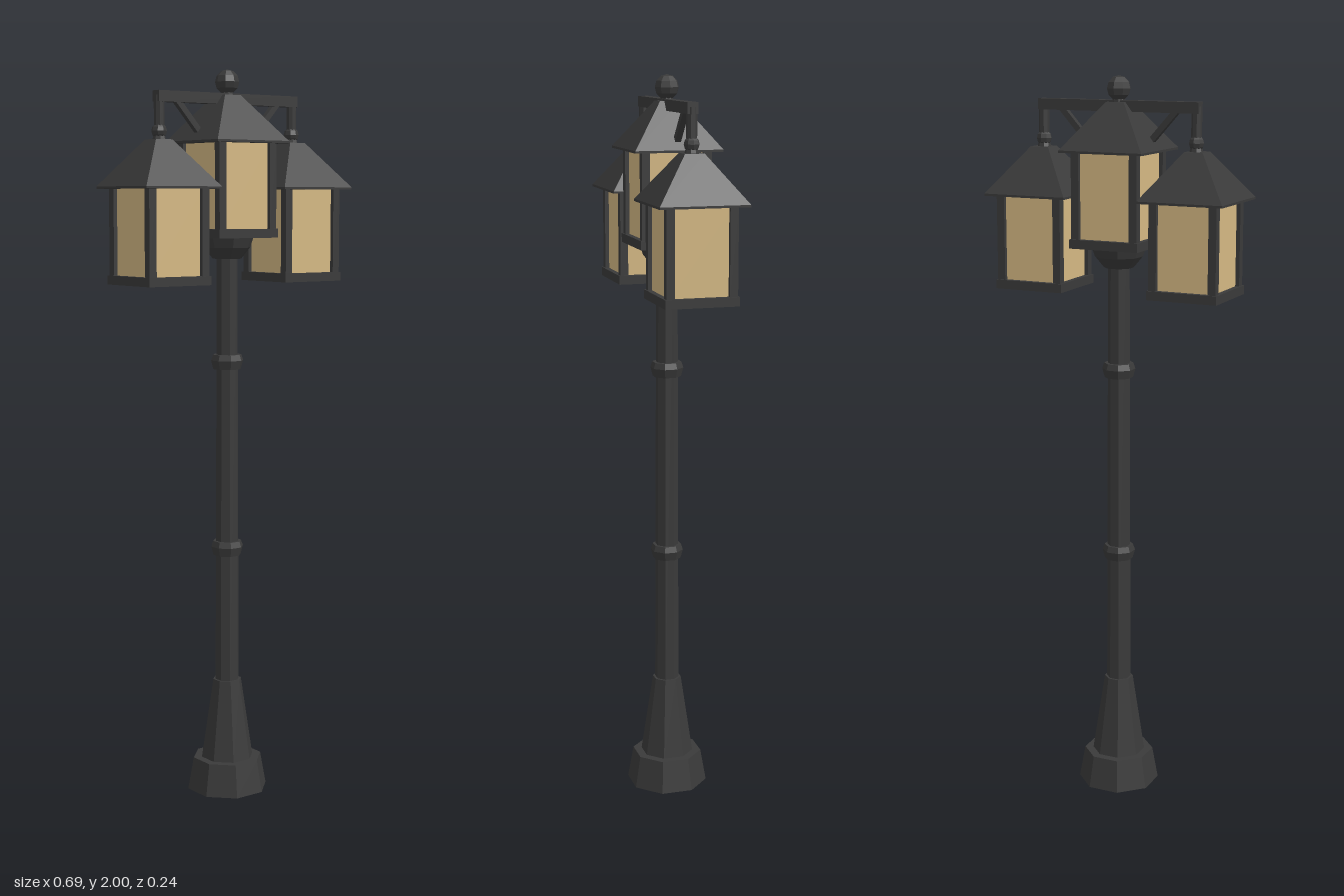
import * as THREE from 'three';

const iron = new THREE.MeshStandardMaterial({ color: 0x3a3a3a, flatShading: true });
iron.name = 'dark iron';
const amber = new THREE.MeshStandardMaterial({ color: 0xd4b883, flatShading: true });
amber.name = 'amber glass';

function add(parent, name, geometry, material, x = 0, y = 0, z = 0) {
  const mesh = new THREE.Mesh(geometry, material);
  mesh.name = name;
  mesh.position.set(x, y, z);
  parent.add(mesh);
  return mesh;
}

// Upright prism or frustum with flat sides facing the axes; sizes are half-widths.
function prism(parent, name, y0, y1, bottom, top, sides = 8, x = 0) {
  const k = 1 / Math.cos(Math.PI / sides);
  const g = new THREE.CylinderGeometry(top * k, bottom * k, y1 - y0, sides);
  g.rotateY(Math.PI / sides);
  return add(parent, name, g, iron, x, (y0 + y1) / 2);
}

// Square bar between two points in the x-y plane.
function bar(parent, name, ax, ay, bx, by, size) {
  const g = new THREE.BoxGeometry(Math.hypot(bx - ax, by - ay), size, size);
  const m = add(parent, name, g, iron, (ax + bx) / 2, (ay + by) / 2);
  m.rotation.z = Math.atan2(by - ay, bx - ax);
  return m;
}

// Square lantern standing on y = 0 of its own group.
function makeLantern(name) {
  const g = new THREE.Group();
  g.name = name;
  add(g, 'lanternFloor', new THREE.BoxGeometry(0.198, 0.024, 0.198), iron, 0, 0.012);
  add(g, 'glass', new THREE.BoxGeometry(0.168, 0.232, 0.168), amber, 0, 0.138);
  for (const x of [-1, 1]) {
    for (const z of [-1, 1]) {
      add(g, 'cornerPost', new THREE.BoxGeometry(0.022, 0.235, 0.022), iron, x * 0.084, 0.14, z * 0.084);
    }
  }
  prism(g, 'eave', 0.252, 0.258, 0.119, 0.119, 4);
  prism(g, 'roof', 0.258, 0.38, 0.119, 0.026, 4);
  return g;
}

export function createModel() {
  const model = new THREE.Group();
  model.name = 'streetLamp';

  // Octagonal foot and pole
  prism(model, 'foot', 0, 0.09, 0.105, 0.09);
  prism(model, 'taperedBase', 0.09, 0.315, 0.068, 0.037);
  prism(model, 'pole', 0.3, 1.51, 0.031, 0.027);
  for (const y of [0.692, 1.213]) {
    prism(model, 'ring', y - 0.02, y + 0.004, 0.036, 0.042);
    prism(model, 'ring', y + 0.004, y + 0.02, 0.042, 0.037);
  }
  prism(model, 'capital', 1.495, 1.525, 0.037, 0.06);
  prism(model, 'capitalTop', 1.525, 1.556, 0.06, 0.07);

  // Raised middle lantern with its finial
  const middle = makeLantern('middleLantern');
  middle.position.y = 1.552;
  model.add(middle);
  prism(model, 'finialNeck', 1.92, 1.95, 0.018, 0.014);
  add(model, 'finial', new THREE.SphereGeometry(0.033, 8, 6), iron, 0, 1.967);

  // Cross arm, braces and hanging lanterns
  bar(model, 'crossArm', -0.232, 1.922, 0.232, 1.922, 0.029);
  for (const s of [-1, 1]) {
    bar(model, 'brace', s * 0.17, 1.917, s * 0.06, 1.795, 0.016);
    prism(model, 'hanger', 1.835, 1.925, 0.013, 0.013, 8, s * 0.222);
    add(model, 'hangerBall', new THREE.SphereGeometry(0.021, 8, 6), iron, s * 0.222, 1.832);
    prism(model, 'hangerNeck', 1.805, 1.83, 0.018, 0.012, 8, s * 0.222);
    const lantern = makeLantern(s > 0 ? 'leftLantern' : 'rightLantern');
    lantern.position.set(s * 0.224, 1.43, 0);
    model.add(lantern);
  }
  return model;
}
